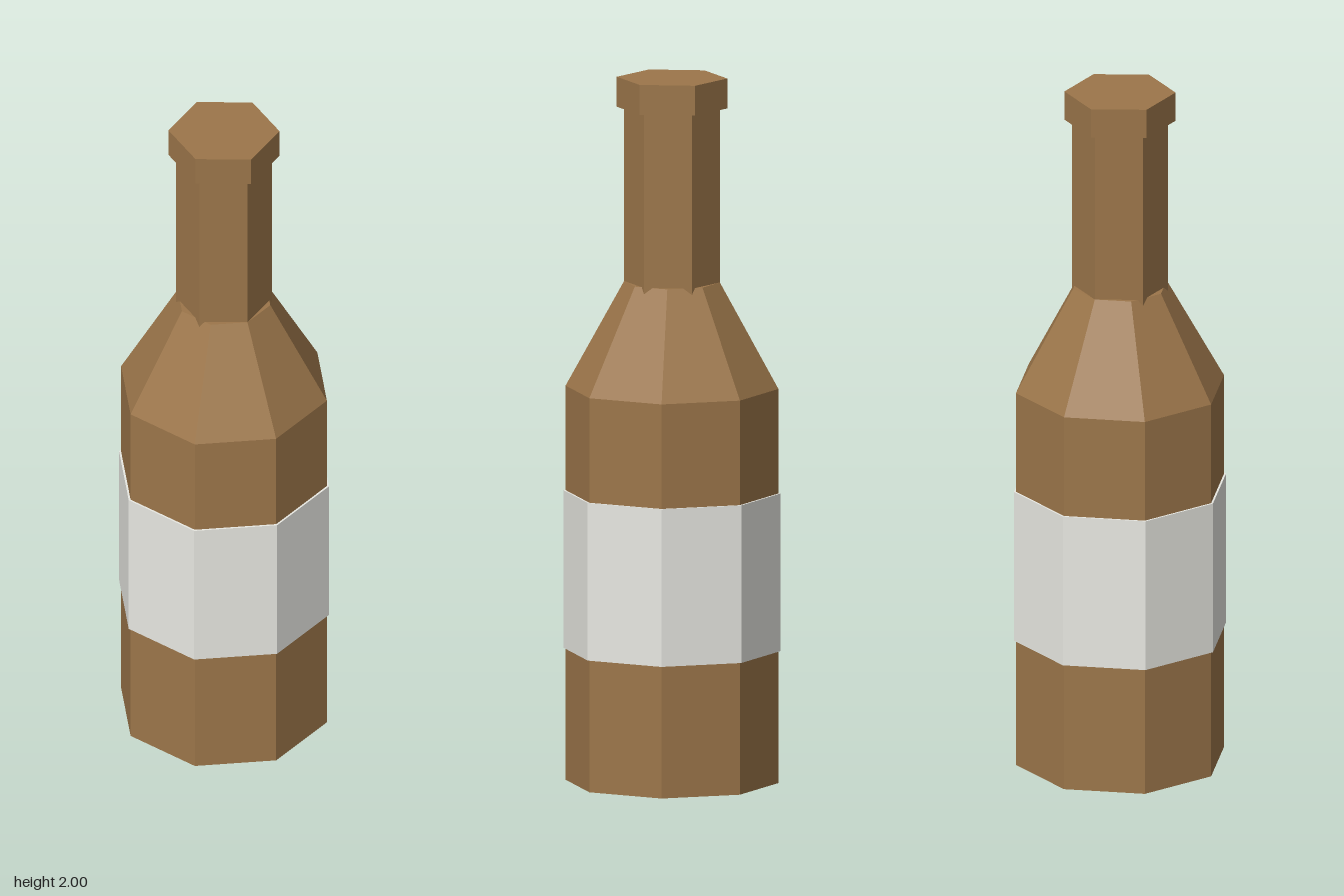
import * as THREE from 'three';

export function createModel() {
  const bottle = new THREE.Group();
  bottle.name = 'bottle';

  const glass = new THREE.MeshStandardMaterial({ color: 0x9c764a, flatShading: true });
  const paper = new THREE.MeshStandardMaterial({ color: 0xe8e8e2, flatShading: true });

  // Faceted upright section between two heights
  function section(name, bottomRadius, topRadius, y0, y1, sides, material) {
    const geometry = new THREE.CylinderGeometry(topRadius, bottomRadius, y1 - y0, sides);
    const mesh = new THREE.Mesh(geometry, material);
    mesh.name = name;
    mesh.position.y = (y0 + y1) / 2;
    bottle.add(mesh);
  }

  // Eight-sided lower part
  section('body', 0.3, 0.3, 0, 1.12, 8, glass);
  section('label', 0.306, 0.306, 0.375, 0.823, 8, paper);
  section('shoulder', 0.3, 0.135, 1.12, 1.42, 8, glass);

  // Six-sided upper part; the neck sinks into the shoulder
  section('neck', 0.135, 0.135, 1.35, 1.915, 6, glass);
  section('lip', 0.156, 0.156, 1.915, 2, 6, glass);

  return bottle;
}
